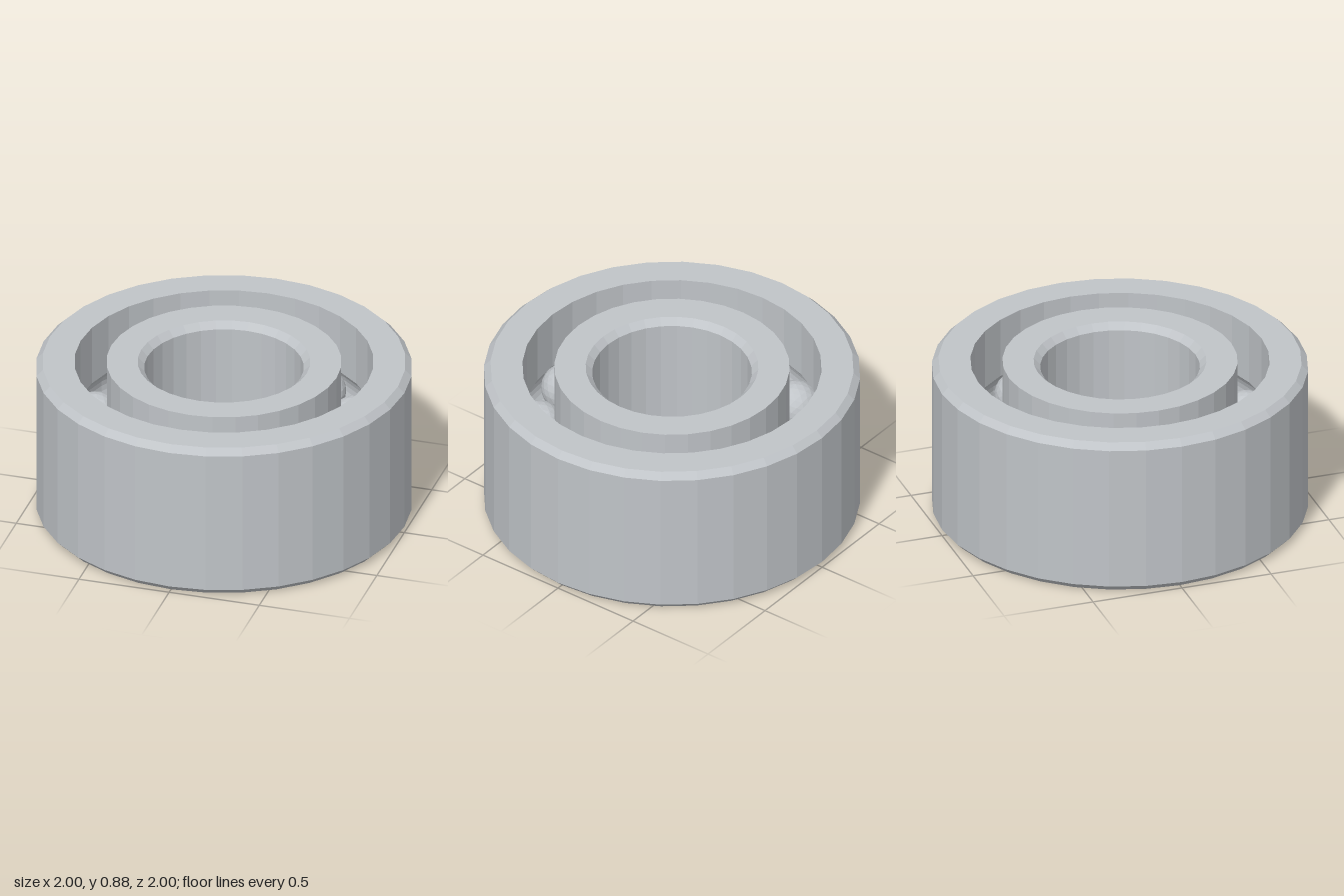
import * as THREE from 'three';

const HEIGHT = 0.875, MID = HEIGHT / 2, CHAMFER = 0.035, SIDES = 32;
const PITCH = 0.71, BALL_RADIUS = 0.13, GROOVE_RADIUS = 0.133;
const RACE_OFFSET = 0.085; // distance of each race wall from the ball circle

// Separate every face so that it is shaded flat
function faceted(geometry) {
  const flat = geometry.index ? geometry.toNonIndexed() : geometry;
  flat.computeVertexNormals();
  return flat;
}

// Race wall with a round ball groove; side is 1 for the outer ring, -1 for the inner.
// The outer race runs downwards and the inner race upwards.
function raceGroove(side) {
  const half = Math.acos(RACE_OFFSET / GROOVE_RADIUS), steps = 8, points = [];
  for (let i = 0; i <= steps; i++) {
    const a = half * (1 - 2 * i / steps);
    points.push([
      PITCH + side * GROOVE_RADIUS * Math.cos(a),
      MID + side * GROOVE_RADIUS * Math.sin(a),
    ]);
  }
  return points;
}

function ring(name, profile, material) {
  const points = profile.map(([r, y]) => new THREE.Vector2(r, y));
  const mesh = new THREE.Mesh(faceted(new THREE.LatheGeometry(points, SIDES)), material);
  mesh.name = name;
  return mesh;
}

export function createModel() {
  const steel = new THREE.MeshStandardMaterial({ color: 0xc0c4c8 });
  steel.name = 'steel';
  const model = new THREE.Group();
  model.name = 'ballBearing';

  // Outer ring, chamfered on the outside
  const outerBore = PITCH + RACE_OFFSET;
  model.add(ring('outerRing', [
    [outerBore, 0], [1 - CHAMFER, 0], [1, CHAMFER],
    [1, HEIGHT - CHAMFER], [1 - CHAMFER, HEIGHT], [outerBore, HEIGHT],
    ...raceGroove(1), [outerBore, 0],
  ], steel));

  // Inner ring, chamfered around the bore
  const innerRim = PITCH - RACE_OFFSET, bore = 0.424;
  model.add(ring('innerRing', [
    [bore + CHAMFER, 0], [innerRim, 0], ...raceGroove(-1), [innerRim, HEIGHT],
    [bore + CHAMFER, HEIGHT], [bore, HEIGHT - CHAMFER],
    [bore, CHAMFER], [bore + CHAMFER, 0],
  ], steel));

  // Twelve balls between the races
  const balls = new THREE.Group();
  balls.name = 'balls';
  const ballGeometry = faceted(new THREE.IcosahedronGeometry(BALL_RADIUS, 3));
  for (let i = 0; i < 12; i++) {
    const a = i * Math.PI / 6;
    const ball = new THREE.Mesh(ballGeometry, steel);
    ball.name = 'ball';
    ball.position.set(PITCH * Math.cos(a), MID, PITCH * Math.sin(a));
    balls.add(ball);
  }
  model.add(balls);
  return model;
}
